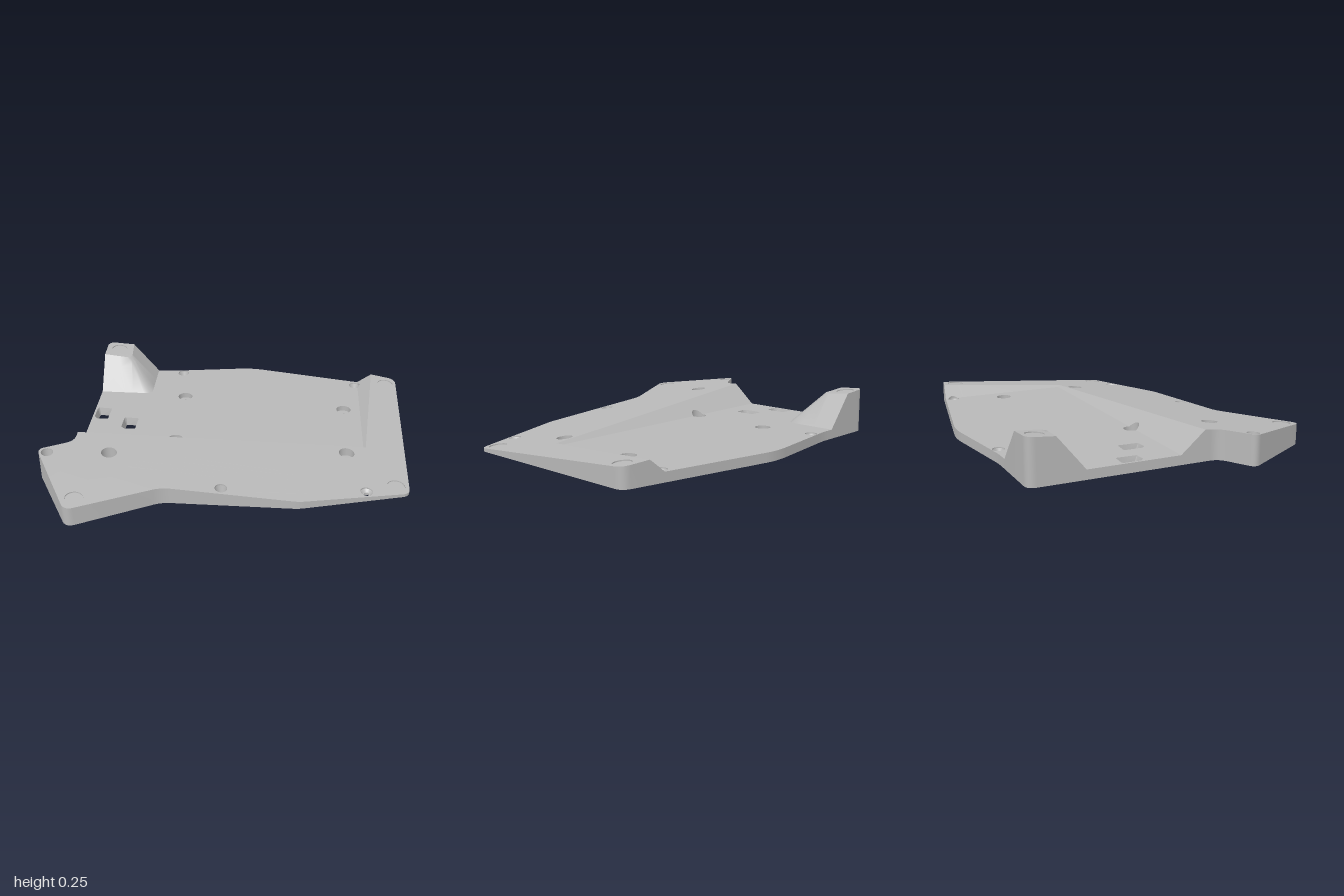
import * as THREE from 'three';
import { toCreasedNormals } from 'three/addons/utils/BufferGeometryUtils.js';

// Faces of the upper side, each y = a + b*x + c*z
const TILT = [0.125, -0.0717, -0.085];
const FLOOR = [0.052, 0, 0];
const FRONT_BANK = [-0.003, 0, 0.85];
const SIDE_BANK = [-0.6025, 0.85, 0];
const FOOT_X = [-0.566, -1.2, 0];
const FOOT_Z = [-0.488, 0, -1.2];
const FOOT_CORNER = [-0.542, -0.6, -0.6];
const FACES = [TILT, FLOOR, FRONT_BANK, SIDE_BANK, FOOT_X, FOOT_Z, FOOT_CORNER];

const at = (f, x, z) => f[0] + f[1] * x + f[2] * z;
const topHeight = (x, z) => {
  const foot = Math.min(at(FOOT_X, x, z), at(FOOT_Z, x, z), at(FOOT_CORNER, x, z));
  return Math.min(at(TILT, x, z),
    Math.max(at(FLOOR, x, z), at(FRONT_BANK, x, z), at(SIDE_BANK, x, z), foot));
};

// Plan polygon with rounded corners; each corner is [x, z, trim]
function rounded(corners, path = new THREE.Shape()) {
  const pts = corners.map(([x, z]) => new THREE.Vector2(x, -z));
  const n = pts.length;
  pts.forEach((p, i) => {
    const toward = (q) => p.clone().add(q.clone().sub(p).setLength(corners[i][2]));
    const a = toward(pts[(i + n - 1) % n]);
    const b = toward(pts[(i + 1) % n]);
    if (i === 0) path.moveTo(a.x, a.y);
    else path.lineTo(a.x, a.y);
    path.quadraticCurveTo(p.x, p.y, b.x, b.y);
  });
  path.closePath();
  return path;
}

const rect = (x, z, w, d, r, path) => rounded(
  [[x - w, z - d, r], [x + w, z - d, r], [x + w, z + d, r], [x - w, z + d, r]], path);

const circle = (x, z, r, path = new THREE.Path()) => path.absarc(x, -z, r, 0, Math.PI * 2, false);

// Cut triangles along the plan line where two faces meet
function splitAlong(tris, f, g) {
  const line = f.map((v, i) => v - g[i]);
  const out = [];
  for (const tri of tris) {
    const d = tri.map((p) => at(line, p.x, p.z)).map((v) => (Math.abs(v) < 1e-6 ? 0 : v));
    if (!(d.some((v) => v > 0) && d.some((v) => v < 0))) {
      out.push(tri);
      continue;
    }
    for (const side of [1, -1]) {
      const poly = [];
      for (let i = 0; i < 3; i++) {
        const j = (i + 1) % 3;
        if (d[i] * side >= 0) poly.push(tri[i]);
        if (d[i] * d[j] < 0) poly.push(tri[i].clone().lerp(tri[j], d[i] / (d[i] - d[j])));
      }
      for (let k = 1; k + 1 < poly.length; k++) out.push([poly[0], poly[k], poly[k + 1]]);
    }
  }
  return out;
}

// Smooth curves while keeping edges sharp (scaled up so small holes stay precise)
const crease = (geo) => toCreasedNormals(geo.scale(50, 50, 50), 0.62).scale(0.02, 0.02, 0.02);

// Solid standing on y = 0 over a plan shape, its top following a height rule
function prism(shape, rule, cuts = []) {
  let geo = new THREE.ExtrudeGeometry(shape, { depth: 1, bevelEnabled: false, curveSegments: 16 });
  geo.rotateX(-Math.PI / 2);
  if (geo.index) geo = geo.toNonIndexed();
  const pos = geo.attributes.position;
  let tris = [];
  for (let i = 0; i < pos.count; i += 3) {
    tris.push([0, 1, 2].map((k) => new THREE.Vector3().fromBufferAttribute(pos, i + k)));
  }
  for (const [f, g] of cuts) tris = splitAlong(tris, f, g);
  const points = tris.flat().map((p) => new THREE.Vector3(p.x, p.y * rule(p.x, p.z), p.z));
  return crease(new THREE.BufferGeometry().setFromPoints(points));
}

const OUTLINE = [
  [-0.83, -0.75, 0.05], [-0.43, -0.75, 0.05], [0.09, -0.825, 0.08], [1, -0.645, 0.05],
  [1, 0.435, 0.04], [0.41, 0.59, 0.03], [-0.31, 0.59, 0.05], [-0.768, 0.83, 0.05],
  [-1.014, 0.384, 0.04], [-0.83, 0.28, 0.05],
];
const COUNTERSINKS = [[-0.35, -0.725], [0.75, -0.645], [-0.955, 0.4], [0, 0.545], [0.768, 0.453]];
const COUNTERBORES = [[-0.303, -0.428], [0.672, -0.344], [-0.303, 0.055], [0.672, 0.145], [-0.627, 0.35]];
const FEET = [[-0.75, -0.68], [0.935, -0.58], [0.93, 0.385], [-0.735, 0.735]];
const SLOTS = [[-0.773, -0.195], [-0.593, -0.095]];

export function createModel() {
  const group = new THREE.Group();
  const grey = new THREE.MeshStandardMaterial({ color: 0xb8b8b8 });
  grey.name = 'plain grey';
  const add = (name, geo, x = 0, z = 0) => {
    const mesh = new THREE.Mesh(geo, grey);
    mesh.name = name;
    mesh.position.set(x, 0, z);
    group.add(mesh);
  };

  // Main plate with its banks, raised corner and openings
  const plate = rounded(OUTLINE);
  COUNTERSINKS.forEach(([x, z]) => plate.holes.push(circle(x, z, 0.033)));
  COUNTERBORES.forEach(([x, z]) => plate.holes.push(circle(x, z, 0.043)));
  FEET.forEach(([x, z]) => plate.holes.push(circle(x, z, 0.048)));
  SLOTS.forEach(([x, z]) => plate.holes.push(rect(x, z, 0.045, 0.063, 0.02, new THREE.Path())));
  const cuts = FACES.flatMap((f, i) => FACES.slice(i + 1).map((g) => [f, g]));
  add('plate', prism(plate, topHeight, cuts));

  // Screw seats: a ring with a small bore, turned from a closed profile
  const seat = (name, x, z, R, profile) => {
    const pts = [[R, 0], ...profile, [0.014, 0], [R, 0]].map((p) => new THREE.Vector2(...p));
    add(name, crease(new THREE.LatheGeometry(pts, 32)), x, z);
  };
  COUNTERSINKS.forEach(([x, z]) => {
    const rim = topHeight(x, z) - 0.005;
    seat('countersink', x, z, 0.033, [[0.033, rim], [0.02, 0.012], [0.014, 0.012]]);
  });
  COUNTERBORES.forEach(([x, z]) => {
    seat('counterboreSeat', x, z, 0.043, [[0.043, 0.02], [0.014, 0.02]]);
  });

  // Shallow round recesses for the rubber feet
  FEET.forEach(([x, z]) => {
    const disc = circle(x, z, 0.048, new THREE.Shape());
    add('footRecess', prism(disc, (px, pz) => topHeight(px, pz) - 0.006));
  });

  // Tapered walls of the two slots
  SLOTS.forEach(([x, z]) => {
    const ring = rect(x, z, 0.045, 0.063, 0.02);
    ring.holes.push(rect(x, z, 0.033, 0.051, 0.012, new THREE.Path()));
    const inner = (px, pz) => Math.abs(px - x) < 0.034 && Math.abs(pz - z) < 0.052
      && Math.hypot(Math.max(Math.abs(px - x) - 0.025, 0), Math.max(Math.abs(pz - z) - 0.043, 0)) < 0.0105;
    add('slotWall', prism(ring, (px, pz) => (inner(px, pz) ? 0.004 : FLOOR[0])));
  });

  return group;
}
